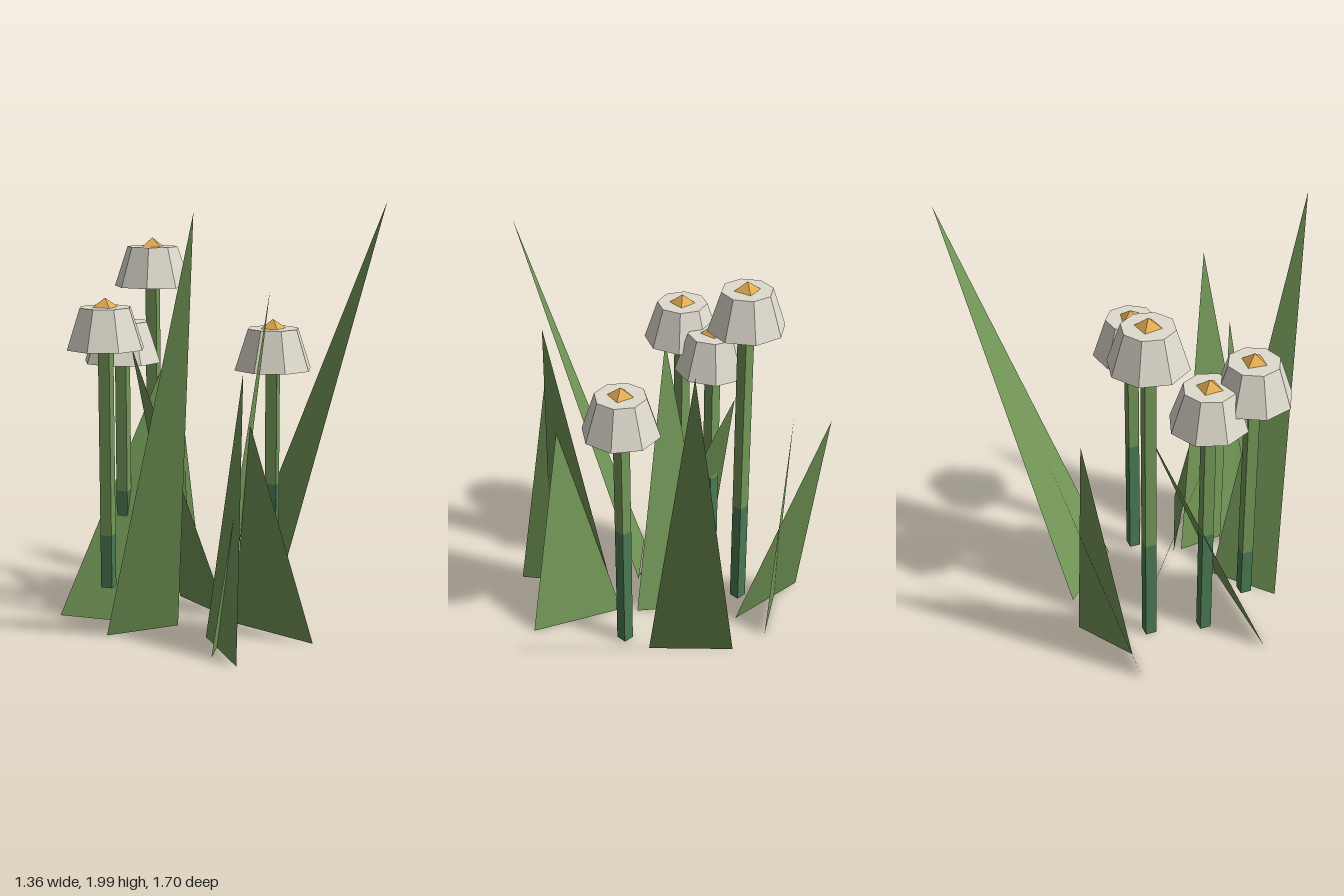
import * as THREE from 'three';

const leafGreen = new THREE.MeshStandardMaterial({ color: 0x749858, name: 'leafGreen', side: THREE.DoubleSide, flatShading: true });
const stemGreen = new THREE.MeshStandardMaterial({ color: 0x749858, name: 'stemGreen', flatShading: true });
const deepGreen = new THREE.MeshStandardMaterial({ color: 0x4a7a54, name: 'deepGreen', flatShading: true });
const petalCream = new THREE.MeshStandardMaterial({ color: 0xe0dbce, name: 'petalCream', flatShading: true });
const centreGold = new THREE.MeshStandardMaterial({ color: 0xe2ab52, name: 'centreGold', flatShading: true });

function part(name, geometry, material, y = 0) {
  const mesh = new THREE.Mesh(geometry, material);
  mesh.name = name;
  mesh.position.y = y;
  return mesh;
}

// One flat pointed leaf: two ground corners and a tip
function leafBlade(name, a, b, tip) {
  const g = new THREE.BufferGeometry();
  const points = [a[0], 0, a[1], b[0], 0, b[1], ...tip];
  g.setAttribute('position', new THREE.Float32BufferAttribute(points, 3));
  g.computeVertexNormals();
  return part(name, g, leafGreen);
}

// Square stem segment between two heights
function stemSegment(name, y0, y1, material) {
  return part(name, new THREE.BoxGeometry(0.056, y1 - y0, 0.056), material, (y0 + y1) / 2);
}

// Bell-shaped flower on a two-tone stem
function flower({ x, z, capY, foot, split, turn }) {
  const group = new THREE.Group();
  group.name = 'flower';
  group.position.set(x, 0, z);
  group.add(stemSegment('lowerStem', foot, split, deepGreen));
  group.add(stemSegment('upperStem', split, capY + 0.02, stemGreen));
  const cap = part('petalBell', new THREE.CylinderGeometry(0.125, 0.19, 0.195, 8), petalCream, capY + 0.0975);
  cap.rotation.y = turn;
  const centre = part('flowerCentre', new THREE.ConeGeometry(0.065, 0.045, 4), centreGold, capY + 0.2165);
  centre.rotation.y = turn + Math.PI / 4;
  group.add(cap, centre);
  return group;
}

export function createModel() {
  const model = new THREE.Group();
  model.name = 'flowerClump';

  // Leaves: ground corner, ground corner, tip
  const leaves = [
    ['tallBackLeaf', [-0.02, -0.46], [0.275, -0.16], [0.675, 1.99, -0.85]],
    ['tallFrontLeaf', [-0.35, 0.53], [-0.08, 0.29], [0.19, 1.99, 0.85]],
    ['outerBackLeaf', [-0.66, -0.32], [-0.21, -0.30], [-0.41, 1.27, -0.68]],
    ['innerBackLeaf', [-0.22, -0.495], [-0.50, -0.31], [-0.36, 1.22, -0.495]],
    ['broadSideLeaf', [-0.68, 0.32], [-0.10, 0.31], [-0.30, 1.22, -0.17]],
    ['middleLeaf', [0.11, 0.10], [-0.22, -0.15], [-0.30, 1.35, 0.31]],
    ['broadFrontLeaf', [0.60, 0.35], [0.16, 0.17], [0.32, 1.03, 0.44]],
    ['outerFrontLeaf', [0.10, 0.41], [0.35, 0.745], [0.31, 1.28, 0.52]],
    ['thinFrontLeaf', [0.155, 0.21], [0.21, 0.67], [0.40, 1.64, 0.41]],
  ];
  for (const leaf of leaves) model.add(leafBlade(...leaf));

  // Flowers
  const flowers = [
    { x: -0.365, z: -0.17, capY: 1.585, foot: 0, split: 0.57, turn: 0.2 },
    { x: -0.425, z: 0.315, capY: 1.33, foot: 0.17, split: 0.43, turn: -0.08 },
    { x: -0.425, z: 0.1, capY: 1.24, foot: 0, split: 0.6, turn: 0.07 },
    { x: 0.3, z: -0.01, capY: 1.22, foot: 0, split: 0.66, turn: -0.21 },
  ];
  for (const f of flowers) model.add(flower(f));
  return model;
}
